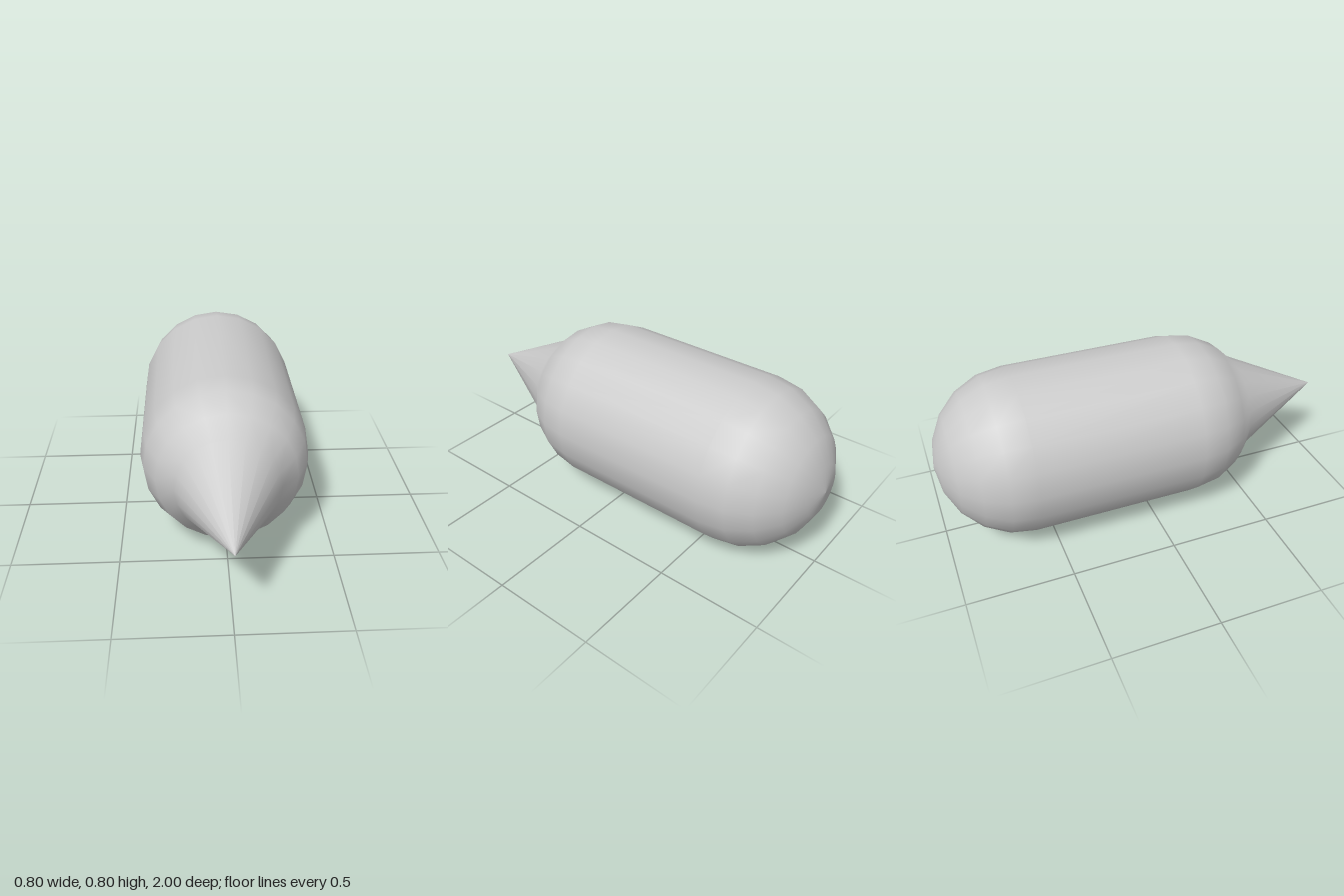
import * as THREE from 'three';

const SIDES = 20;
const RADIUS = 0.4;
const RING_STEP = Math.PI / 10;

export function createModel() {
  const group = new THREE.Group();
  group.name = 'pointedCapsule';
  const profile = [];

  // Rounded back end, from pole to full radius
  for (let i = 0; i <= 5; i++) {
    const a = i * RING_STEP;
    profile.push(new THREE.Vector2(RADIUS * Math.sin(a), -0.6 - RADIUS * Math.cos(a)));
  }

  // Straight barrel and the start of the rounded front end
  for (let i = 0; i <= 2; i++) {
    const a = i * RING_STEP;
    profile.push(new THREE.Vector2(RADIUS * Math.cos(a), 0.2 + RADIUS * Math.sin(a)));
  }

  // Conical nose
  profile.push(new THREE.Vector2(0.241, 0.518), new THREE.Vector2(0, 1));

  // Turn the profile round the z axis
  const geometry = new THREE.LatheGeometry(profile, SIDES);
  geometry.rotateX(Math.PI / 2);

  const body = new THREE.Mesh(geometry, new THREE.MeshStandardMaterial({ color: 0xcccccc }));
  body.name = 'bodyWithNose';
  body.position.y = RADIUS;
  group.add(body);
  return group;
}
